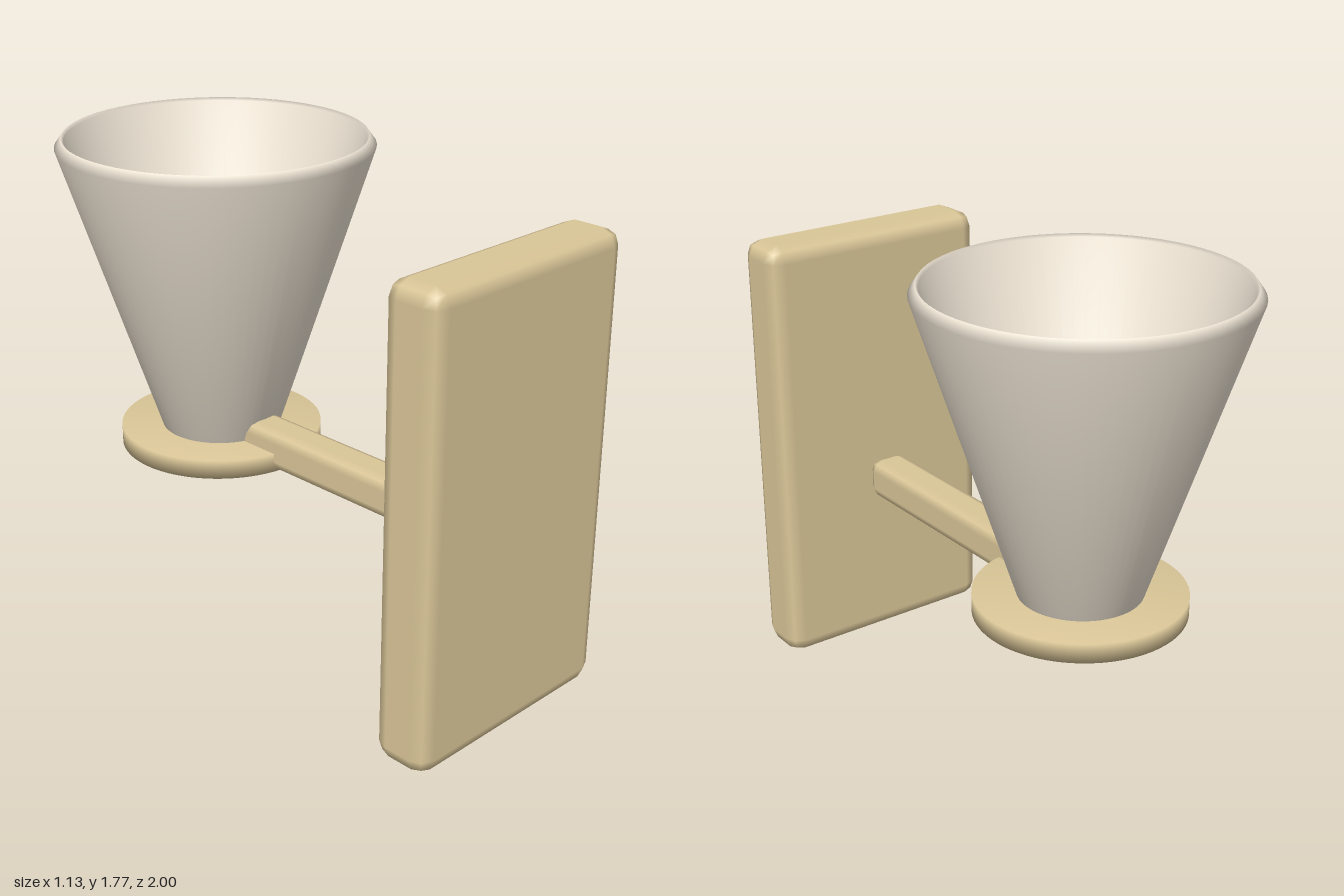
import * as THREE from 'three';
import { RoundedBoxGeometry } from 'three/addons/geometries/RoundedBoxGeometry.js';

const wood = new THREE.MeshStandardMaterial({ color: 0xdac698 });
const ceramic = new THREE.MeshStandardMaterial({ color: 0xf0e6d6 });
const AXIS_Z = -0.435; // vertical axis shared by the shade and its base disc

function roundedBox(name, size, radius, position) {
  const mesh = new THREE.Mesh(new RoundedBoxGeometry(...size, 1, radius), wood);
  mesh.name = name;
  mesh.position.set(...position);
  return mesh;
}

function turned(name, profile, material) {
  const points = profile.map(([r, y]) => new THREE.Vector2(r, y));
  const mesh = new THREE.Mesh(new THREE.LatheGeometry(points, 64), material);
  mesh.name = name;
  mesh.position.z = AXIS_Z;
  return mesh;
}

export function createModel() {
  const model = new THREE.Group();
  model.name = 'wallLamp';

  // Upright mounting plate and the arm reaching back from it
  model.add(roundedBox('wallPlate', [0.9, 1.66, 0.22], 0.06, [0, 0.83, 0.89]));
  model.add(roundedBox('arm', [0.15, 0.15, 1.215], 0.04, [0, 0.683, 0.1725]));

  // Disc under the shade
  model.add(turned('baseDisc', [[0, 0.61], [0.372, 0.61], [0.372, 0.68], [0, 0.68]], wood));

  // Hollow conical shade with a bevelled rim: up the outside, down the inside
  model.add(turned('shade', [
    [0, 0.68], [0.22, 0.68], [0.565, 1.74], [0.54, 1.775],
    [0.53, 1.765], [0.185, 0.7], [0, 0.7],
  ], ceramic));

  return model;
}
